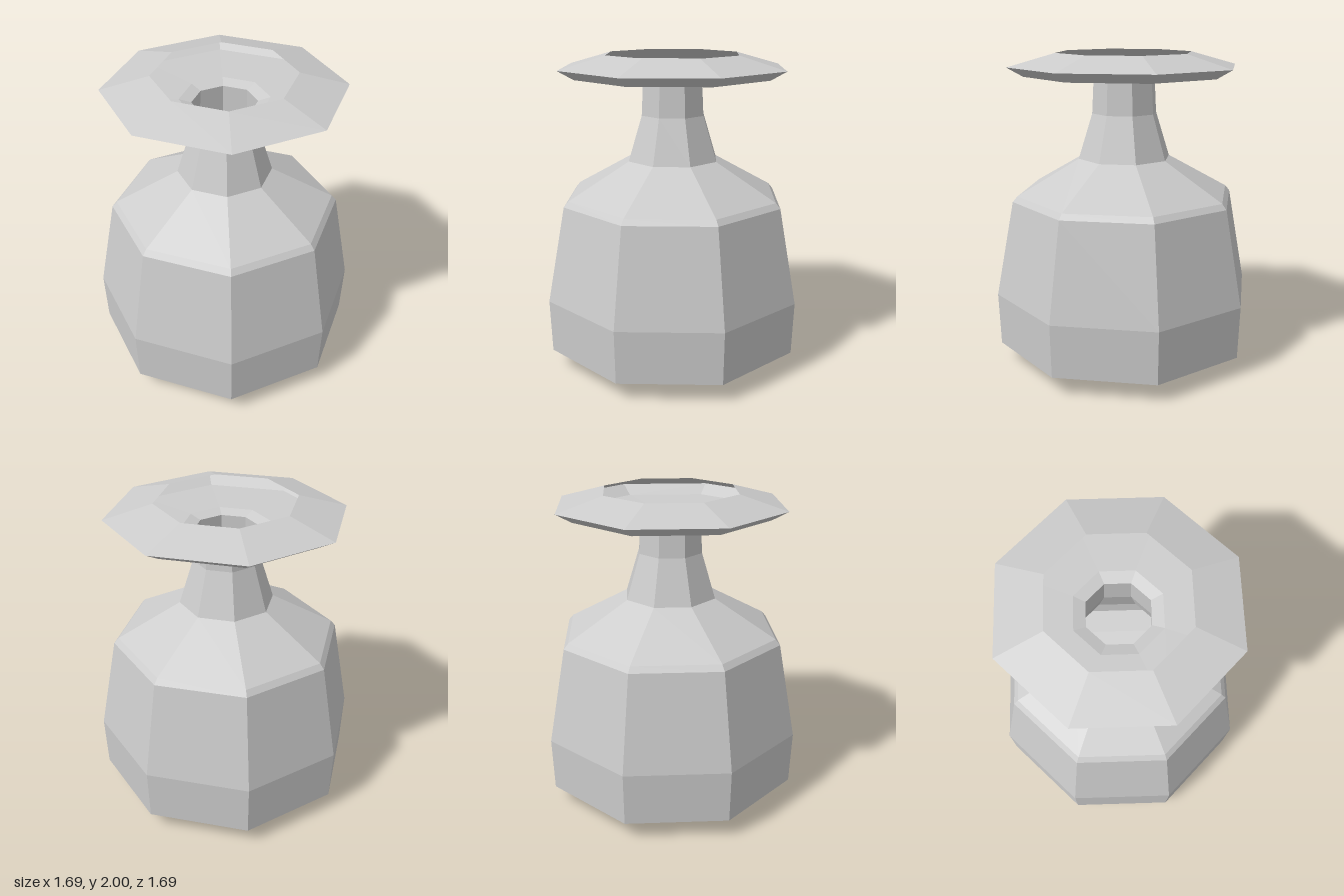
import * as THREE from 'three';

// Thin-walled eight-sided vessel, each section a lathe shell sharing its end ring with the next
export function createModel() {
  const model = new THREE.Group();
  model.name = 'bottle';

  const clay = new THREE.MeshStandardMaterial({ color: 0xcccccc, flatShading: true, side: THREE.DoubleSide });
  clay.name = 'light grey';

  const shell = (name, profile) => {
    const points = profile.map(([r, y]) => new THREE.Vector2(r, y));
    const mesh = new THREE.Mesh(new THREE.LatheGeometry(points, 8), clay);
    mesh.name = name;
    model.add(mesh);
  };

  // Underside with a small raised hollow in the middle
  shell('base', [[0, 0.1], [0.18, 0], [0.65, 0.1], [0.833, 0.122]]);
  // Belly, widest low down
  shell('body', [[0.833, 0.122], [0.846, 0.46], [0.73, 1.072]]);
  // Bevel and sloping shoulder
  shell('shoulder', [[0.73, 1.072], [0.7, 1.107], [0.3, 1.333]]);
  shell('neck', [[0.3, 1.333], [0.21, 1.62], [0.2, 1.82]]);
  // Hollow flange: funnel and floor, flared edge, then a lip folding back inward
  shell('rimFloor', [[0.2, 1.82], [0.275, 1.843], [0.64, 1.858]]);
  shell('rimLip', [[0.64, 1.858], [0.742, 1.916], [0.44, 2]]);

  return model;
}
